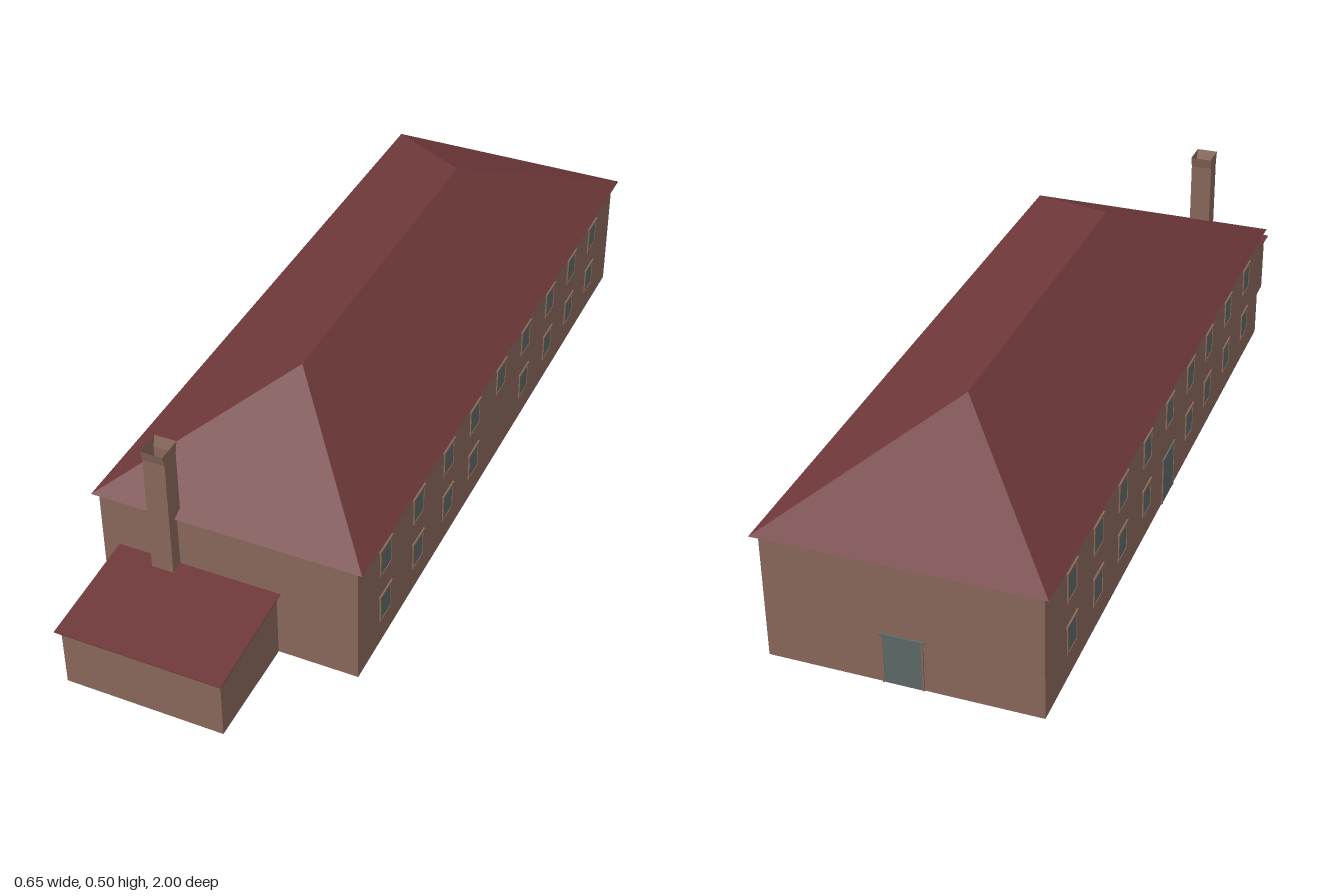
import * as THREE from 'three';

const brick = new THREE.MeshStandardMaterial({ name: 'brickWall', color: 0x8b695c, side: THREE.DoubleSide });
const tile = new THREE.MeshStandardMaterial({ name: 'roofTile', color: 0x6e3839 });
const glass = new THREE.MeshStandardMaterial({ name: 'greyGlass', color: 0x5e6a67 });

function mesh(name, geometry, material, parent) {
  const m = new THREE.Mesh(geometry, material);
  m.name = name;
  parent.add(m);
  return m;
}

// Thin four-sided shell, open at the top and bottom
function shell(x0, x1, y0, y1, z0, z1) {
  const g = new THREE.BoxGeometry(x1 - x0, y1 - y0, z1 - z0);
  const i = Array.from(g.index.array);
  g.setIndex([...i.slice(0, 12), ...i.slice(24)]);
  return g.translate((x0 + x1) / 2, (y0 + y1) / 2, (z0 + z1) / 2);
}

// Flat-shaded solid from corner points and polygon faces
function solid(points, faces) {
  const pos = [];
  for (const f of faces)
    for (let k = 1; k < f.length - 1; k++)
      pos.push(...points[f[0]], ...points[f[k]], ...points[f[k + 1]]);
  const g = new THREE.BufferGeometry();
  g.setAttribute('position', new THREE.Float32BufferAttribute(pos, 3));
  g.computeVertexNormals();
  return g;
}

function box(name, w, h, d, x, y, z, material, parent) {
  mesh(name, new THREE.BoxGeometry(w, h, d), material, parent).position.set(x, y, z);
}

// Opening facing local +z, centred on x, standing on y = 0, sunk halfway through the wall
function opening(name, w, h, isDoor) {
  const g = new THREE.Group();
  g.name = name;
  box('pane', w, h, 0.003, 0, h / 2, 0, glass, g);
  for (const s of [-1, 1]) box('jamb', 0.004, h, 0.006, s * (w / 2 + 0.002), h / 2, 0, brick, g);
  box('lintel', w + 0.016, 0.006, 0.008, 0, h + 0.003, 0, isDoor ? glass : brick, g);
  if (!isDoor) box('sill', w + 0.008, 0.004, 0.006, 0, -0.002, 0, brick, g);
  return g;
}

export function createModel() {
  const model = new THREE.Group();
  model.name = 'longHouse';

  // Main block with hipped roof
  mesh('mainWalls', shell(-0.31, 0.31, 0, 0.312, -0.985, 0.72), brick, model);
  const e = 0.324, y = 0.31;
  mesh('mainRoof', solid(
    [[-e, y, 0.73], [e, y, 0.73], [e, y, -1], [-e, y, -1], [0, 0.49, 0.33], [0, 0.49, -0.6]],
    [[0, 1, 4], [1, 2, 5, 4], [2, 3, 5], [3, 0, 4, 5], [0, 3, 2, 1]]), tile, model);

  // Front annex with lean-to roof
  mesh('annexWalls', shell(-0.262, 0.118, 0, 0.157, 0.721, 0.985), brick, model);
  mesh('annexSideGables', solid(
    [-0.262, 0.118].flatMap(x => [[x, 0.157, 0.72], [x, 0.157, 0.985], [x, 0.173, 0.72]]),
    [[0, 1, 2], [3, 5, 4]]), brick, model);
  const l = -0.27, r = 0.127;
  mesh('annexRoof', solid(
    [[l, 0.155, 1], [r, 0.155, 1], [r, 0.174, 0.72], [l, 0.174, 0.72],
      [l, 0.157, 1], [r, 0.157, 1], [r, 0.176, 0.72], [l, 0.176, 0.72]],
    [[4, 5, 6, 7], [3, 2, 1, 0], [0, 1, 5, 4], [1, 2, 6, 5], [3, 0, 4, 7], [2, 3, 7, 6]]), tile, model);

  // Hollow chimney with a flared head
  mesh('chimneyShaft', shell(-0.17, -0.117, 0.172, 0.475, 0.704, 0.752), brick, model);
  const head = shell(-0.17, -0.117, 0.475, 0.502, 0.704, 0.752);
  const p = head.attributes.position;
  for (let i = 0; i < p.count; i++)
    if (p.getY(i) > 0.49) p.setZ(i, p.getZ(i) + (p.getZ(i) > 0.728 ? 0.007 : -0.007));
  head.computeVertexNormals();
  mesh('chimneyHead', head, brick, model);

  // Two rows of windows on both long sides; the right side has a door in the lower row
  const bays = [0.575, 0.39, 0.21, 0.045, -0.13, -0.305, -0.485, -0.655, -0.825];
  for (const side of [-1, 1])
    bays.forEach((z, i) => {
      for (const base of [0.068, 0.201]) {
        if (i === 4 && base < 0.1) continue;
        const w = opening('window', 0.052, 0.065, false);
        w.position.set(side * 0.31, base, z);
        w.rotation.y = side * Math.PI / 2;
        model.add(w);
      }
    });
  const sideDoor = opening('sideDoor', 0.085, 0.12, true);
  sideDoor.position.set(-0.31, 0, -0.13);
  sideDoor.rotation.y = -Math.PI / 2;
  const backDoor = opening('backDoor', 0.085, 0.12, true);
  backDoor.position.set(0, 0, -0.985);
  backDoor.rotation.y = Math.PI;
  const annexWindow = opening('annexWindow', 0.07, 0.065, false);
  annexWindow.position.set(-0.262, 0.062, 0.85);
  annexWindow.rotation.y = -Math.PI / 2;
  model.add(sideDoor, backDoor, annexWindow);
  return model;
}
